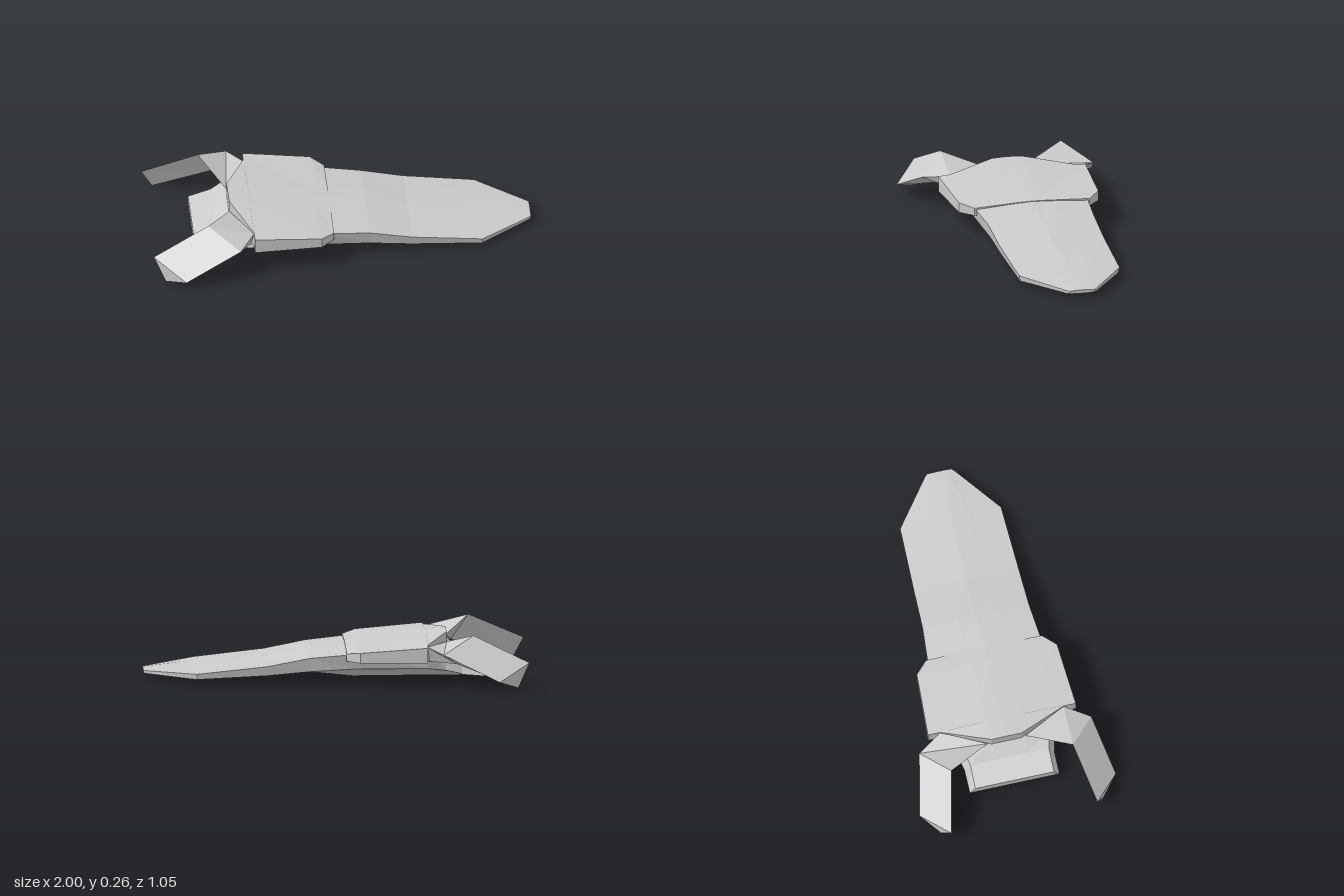
import * as THREE from 'three';

const material = new THREE.MeshStandardMaterial({ color: 0xcccccc, flatShading: true, side: THREE.DoubleSide });

// Skin a row of closed rings, listed from the nose towards the tail, and cap both ends.
function loft(name, rings) {
  const pos = [];
  const tri = (a, b, c) => pos.push(...a, ...b, ...c);
  const n = rings[0].length;
  for (let i = 0; i < rings.length - 1; i++) {
    for (let j = 0; j < n; j++) {
      const k = (j + 1) % n;
      const [a, b, c, d] = [rings[i][j], rings[i][k], rings[i + 1][j], rings[i + 1][k]];
      tri(a, c, b);
      tri(b, c, d);
    }
  }
  const first = rings[0], last = rings[rings.length - 1];
  for (let j = 1; j < n - 1; j++) {
    tri(first[0], first[j], first[j + 1]);
    tri(last[0], last[j + 1], last[j]);
  }
  const geometry = new THREE.BufferGeometry();
  geometry.setAttribute('position', new THREE.Float32BufferAttribute(pos, 3));
  geometry.computeVertexNormals();
  const mesh = new THREE.Mesh(geometry, material);
  mesh.name = name;
  return mesh;
}

// Half section [y, z] from top centre to bottom centre, mirrored into a full ring.
function ring(x, half) {
  const left = half.map(([y, z]) => [x, y, z]);
  const right = half.slice(1, -1).reverse().map(([y, z]) => [x, y, -z]);
  return [...left, ...right];
}

export function createModel() {
  const group = new THREE.Group();

  // Flat nose, body and keel
  group.add(loft('hull', [
    ring(1.0, [[0.046, 0], [0.046, 0.03], [0.043, 0.065], [0.03, 0.065], [0.027, 0.03], [0.027, 0]]),
    ring(0.985, [[0.048, 0], [0.047, 0.04], [0.043, 0.08], [0.028, 0.08], [0.024, 0.04], [0.024, 0]]),
    ring(0.73, [[0.07, 0], [0.067, 0.1], [0.055, 0.27], [0.026, 0.265], [0.022, 0.1], [0.022, 0]]),
    ring(0.36, [[0.108, 0], [0.103, 0.1], [0.095, 0.28], [0.045, 0.27], [0.042, 0.12], [0.042, 0]]),
    ring(0.14, [[0.153, 0], [0.15, 0.1], [0.138, 0.285], [0.065, 0.272], [0.058, 0.13], [0.056, 0]]),
    ring(-0.09, [[0.18, 0], [0.175, 0.1], [0.16, 0.305], [0.08, 0.285], [0.01, 0.09], [0.01, 0]]),
    ring(-0.47, [[0.2, 0], [0.2, 0.1], [0.18, 0.3], [0.08, 0.285], [0.01, 0.08], [0.01, 0]]),
    ring(-0.57, [[0.175, 0], [0.175, 0.1], [0.165, 0.23], [0.065, 0.26], [0.01, 0.08], [0.01, 0]]),
    ring(-0.65, [[0.12, 0], [0.12, 0.1], [0.12, 0.21], [0.045, 0.24], [0.01, 0.08], [0.01, 0]]),
    ring(-0.655, [[0.118, 0], [0.118, 0.1], [0.118, 0.21], [0.04, 0.24], [0.03, 0.08], [0.03, 0]]),
    ring(-0.77, [[0.08, 0], [0.08, 0.1], [0.08, 0.21], [0.03, 0.24], [0.03, 0.08], [0.03, 0]]),
  ]));

  // Broad rear deck overhanging the body on both sides
  group.add(loft('rearDeck', [
    ring(-0.05, [[0.178, 0], [0.176, 0.08], [0.165, 0.31], [0.125, 0.31], [0.125, 0]]),
    ring(-0.12, [[0.188, 0], [0.186, 0.08], [0.178, 0.375], [0.125, 0.375], [0.125, 0]]),
    ring(-0.47, [[0.229, 0], [0.228, 0.08], [0.206, 0.395], [0.125, 0.395], [0.125, 0]]),
    ring(-0.472, [[0.23, 0], [0.229, 0.08], [0.21, 0.33], [0.125, 0.33], [0.125, 0]]),
    ring(-0.58, [[0.243, 0], [0.242, 0.04], [0.24, 0.08], [0.17, 0.08], [0.17, 0]]),
  ]));

  // Three-sided arms and drooping tail fins: inner top, outer top, underside ridge
  const finRings = [
    [[-0.58, 0.19, 0.1], [-0.47, 0.2, 0.33], [-0.48, 0.12, 0.3]],
    [[-0.71, 0.26, 0.325], [-0.55, 0.18, 0.46], [-0.62, 0.12, 0.38]],
    [[-1.0, 0.125, 0.39], [-0.84, 0.045, 0.525], [-0.94, 0, 0.435]],
  ];
  group.add(loft('leftTailFin', finRings));
  const mirrored = finRings.map(r => r.map(([x, y, z]) => [x, y, -z]).reverse());
  group.add(loft('rightTailFin', mirrored));

  group.name = 'spacecraft';
  return group;
}
